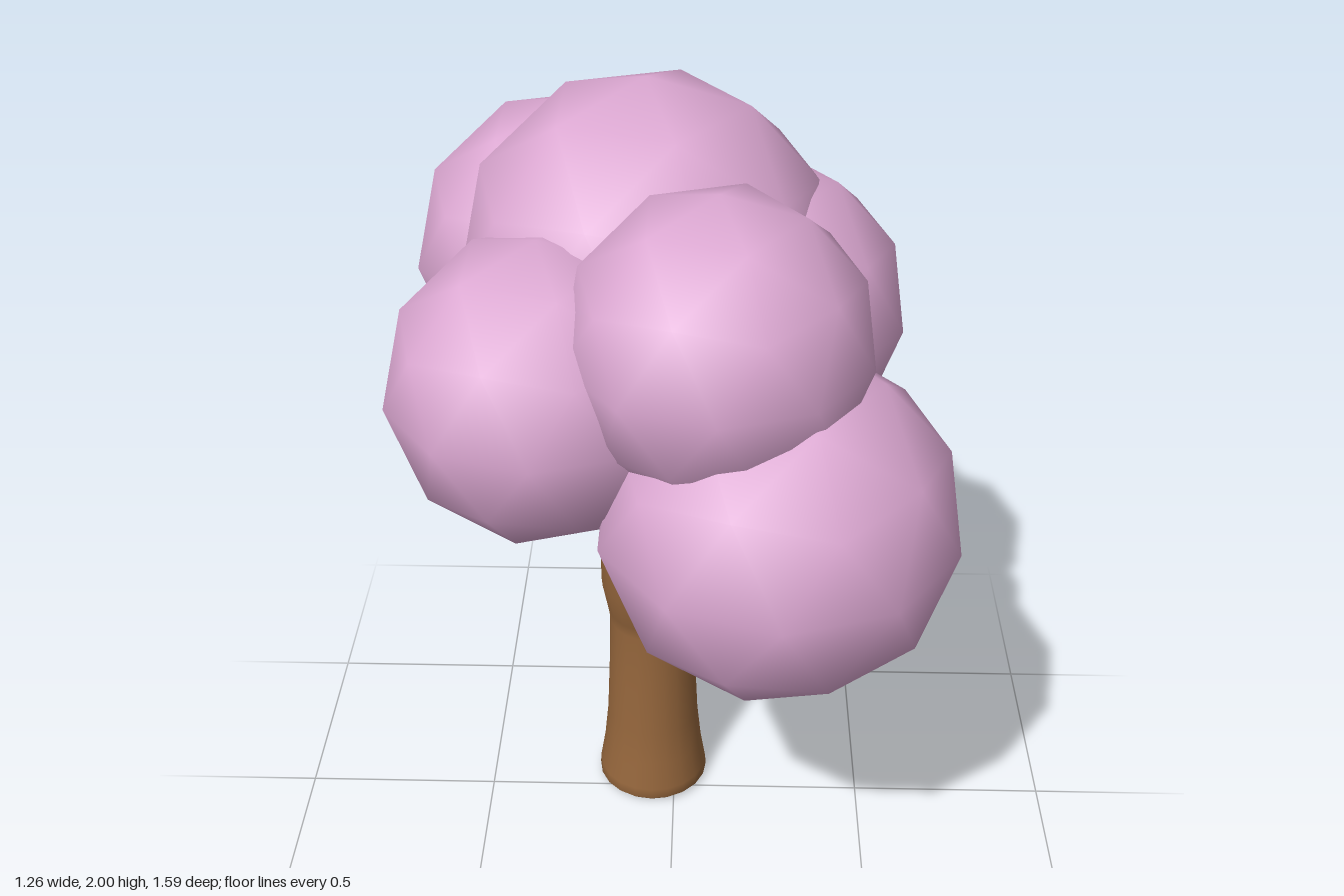
import * as THREE from 'three';

// Lofts round rings [x, y, z, radius] along a path, with smooth sides and flat end caps
function limb(rings, sides = 20) {
  const centres = rings.map(([x, y, z]) => new THREE.Vector3(x, y, z));
  const last = rings.length - 1;
  const positions = [];
  const index = [];
  const side = new THREE.Vector3();
  const ahead = new THREE.Vector3();
  const ringPoints = rings.map(([, , , radius], i) => {
    const before = centres[Math.max(i - 1, 0)];
    const after = centres[Math.min(i + 1, last)];
    const tangent = after.clone().sub(before).normalize();
    side.set(1, 0, 0).addScaledVector(tangent, -tangent.x).normalize();
    ahead.crossVectors(side, tangent);
    return Array.from({ length: sides }, (_, k) => {
      const a = (k / sides) * Math.PI * 2;
      return centres[i].clone()
        .addScaledVector(side, Math.cos(a) * radius)
        .addScaledVector(ahead, Math.sin(a) * radius);
    });
  });
  ringPoints.forEach((ring) => ring.forEach((p) => positions.push(p.x, p.y, p.z)));
  for (let i = 0; i < last; i++) {
    for (let k = 0; k < sides; k++) {
      const a = i * sides + k;
      const b = i * sides + ((k + 1) % sides);
      index.push(a, a + sides, b, b, a + sides, b + sides);
    }
  }
  // End caps keep their own vertices so the rims stay sharp
  for (const i of [0, last]) {
    const start = positions.length / 3;
    [...ringPoints[i], centres[i]].forEach((p) => positions.push(p.x, p.y, p.z));
    for (let k = 0; k < sides; k++) {
      const a = start + k;
      const b = start + ((k + 1) % sides);
      index.push(start + sides, ...(i === 0 ? [a, b] : [b, a]));
    }
  }
  const geometry = new THREE.BufferGeometry();
  geometry.setAttribute('position', new THREE.Float32BufferAttribute(positions, 3));
  geometry.setIndex(index);
  geometry.computeVertexNormals();
  return geometry;
}

export function createModel() {
  const tree = new THREE.Group();
  tree.name = 'tree';
  const bark = new THREE.MeshStandardMaterial({ color: 0x95663c });
  bark.name = 'brown bark';
  const blossom = new THREE.MeshStandardMaterial({ color: 0xdca8d2 });
  blossom.name = 'pink blossom';

  const add = (name, geometry, material) => {
    const mesh = new THREE.Mesh(geometry, material);
    mesh.name = name;
    tree.add(mesh);
    return mesh;
  };

  // Flared trunk with a slight kink
  add('trunk', limb([
    [-0.06, 0, -0.08, 0.136],
    [-0.06, 0.012, -0.08, 0.147],
    [-0.06, 0.04, -0.08, 0.145],
    [-0.06, 0.12, -0.08, 0.132],
    [-0.06, 0.22, -0.08, 0.122],
    [-0.06, 0.38, -0.08, 0.115],
    [-0.06, 0.54, -0.08, 0.111],
    [-0.065, 0.6, -0.07, 0.112],
    [-0.075, 0.69, -0.046, 0.114],
    [-0.077, 0.8, -0.04, 0.11],
    [-0.077, 1.05, -0.035, 0.106],
    [-0.07, 1.4, -0.04, 0.1],
  ]), bark);

  // Two bent branches
  add('frontBranch', limb([
    [-0.05, 0.745, -0.05, 0.08],
    [0.11, 0.845, 0.16, 0.078],
    [0.15, 0.89, 0.21, 0.078],
    [0.17, 1.05, 0.25, 0.07],
  ]), bark);
  add('backBranch', limb([
    [-0.07, 0.87, -0.06, 0.078],
    [-0.16, 0.995, -0.265, 0.076],
    [-0.18, 1.04, -0.305, 0.075],
    [-0.2, 1.25, -0.335, 0.062],
  ]), bark);

  // Blossom clumps share one icosphere, standing on a corner
  const clump = new THREE.IcosahedronGeometry(1, 1);
  clump.rotateZ(-Math.atan(2 / (1 + Math.sqrt(5))));
  const clumps = [
    ['topClump', -0.065, 1.557, -0.112, 0.443],
    ['lowerFrontClump', 0.238, 1.17, 0.383, 0.411],
    ['upperFrontClump', 0.1, 1.578, 0.328, 0.342],
    ['rightClump', -0.285, 1.413, 0.23, 0.355],
    ['leftClump', 0.172, 1.432, -0.12, 0.375],
    ['backClump', -0.26, 1.443, -0.402, 0.394],
  ];
  for (const [name, x, y, z, radius] of clumps) {
    const mesh = add(name, clump, blossom);
    mesh.position.set(x, y, z);
    mesh.scale.setScalar(radius);
  }
  return tree;
}
